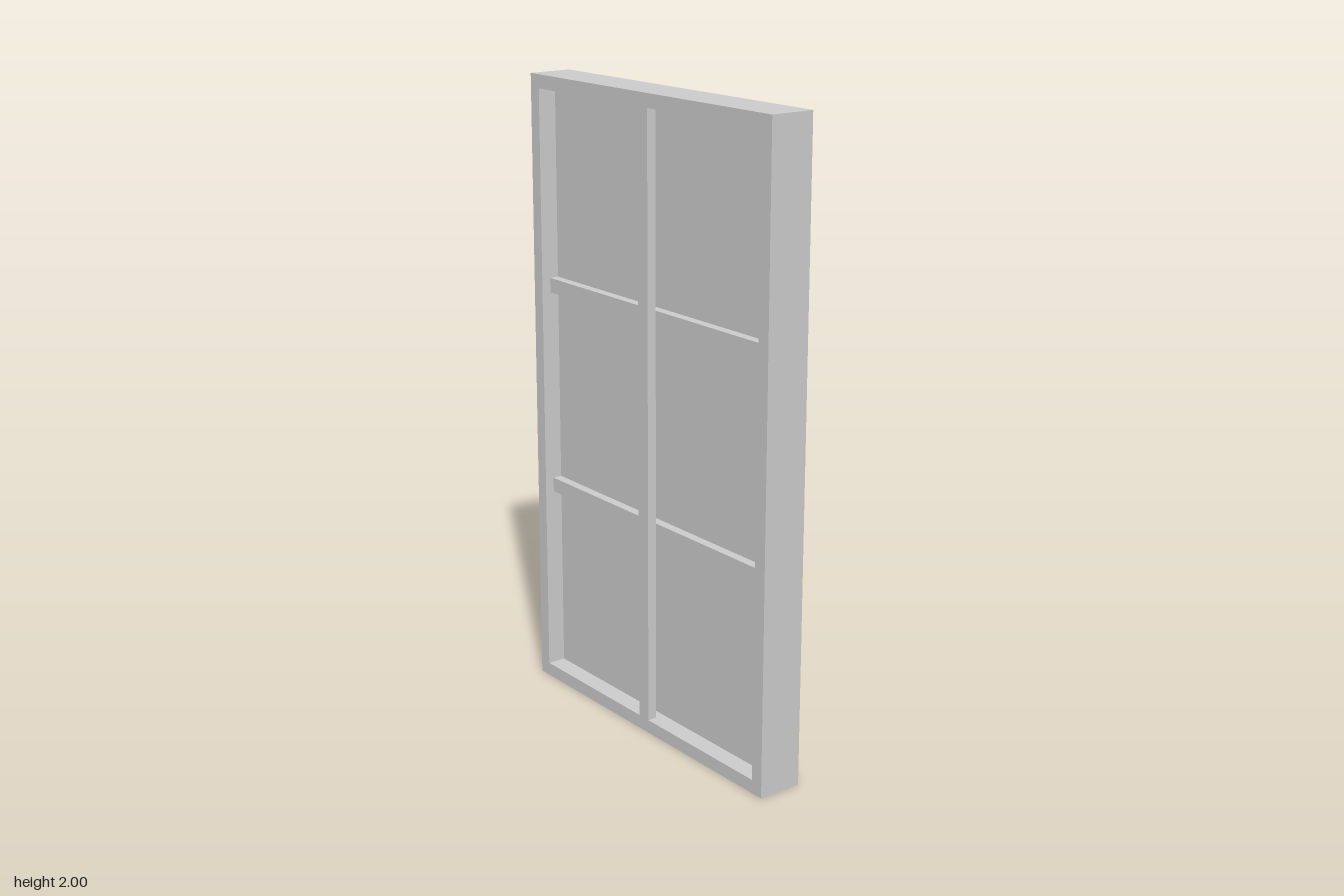
import * as THREE from 'three';

const W = 1.142, H = 2, D = 0.144;   // overall size
const EDGE = 0.043;                  // frame face width
const BAR = 0.047;                   // width of mullion and rails
const LAYER = 0.03;                  // thickness of each bar layer
const RECESS = 2 * LAYER;            // depth of the panel behind the front

export function createModel() {
  const group = new THREE.Group();
  const material = new THREE.MeshStandardMaterial({ color: 0xcccccc, flatShading: true });
  const front = D / 2;
  const innerW = W - 2 * EDGE, innerH = H - 2 * EDGE;

  const add = (name, geometry, x, y, z) => {
    const mesh = new THREE.Mesh(geometry, material);
    mesh.name = name;
    mesh.position.set(x, y, z);
    group.add(mesh);
  };
  const rect = (target, w, h) => {
    target.moveTo(-w / 2, -h / 2);
    target.lineTo(w / 2, -h / 2);
    target.lineTo(w / 2, h / 2);
    target.lineTo(-w / 2, h / 2);
    target.closePath();
    return target;
  };

  // Outer frame, one piece with a rectangular opening
  const outline = rect(new THREE.Shape(), W, H);
  outline.holes.push(rect(new THREE.Path(), innerW, innerH));
  add('frame', new THREE.ExtrudeGeometry(outline, { depth: D, bevelEnabled: false }), 0, H / 2, -front);

  // Solid panel filling the opening, flush at the back
  add('backPanel', new THREE.BoxGeometry(innerW, innerH, D - RECESS), 0, H / 2, -RECESS / 2);

  // Upright mullion, flush with the front of the frame
  add('mullion', new THREE.BoxGeometry(BAR, innerH, LAYER), 0, H / 2, front - LAYER / 2);

  // Cross rails between the mullion and the panel
  for (const [name, y] of [['lowerRail', H / 3], ['upperRail', 2 * H / 3]]) {
    add(name, new THREE.BoxGeometry(innerW, BAR, LAYER), 0, y + 0.002, front - LAYER * 1.5);
  }

  return group;
}
